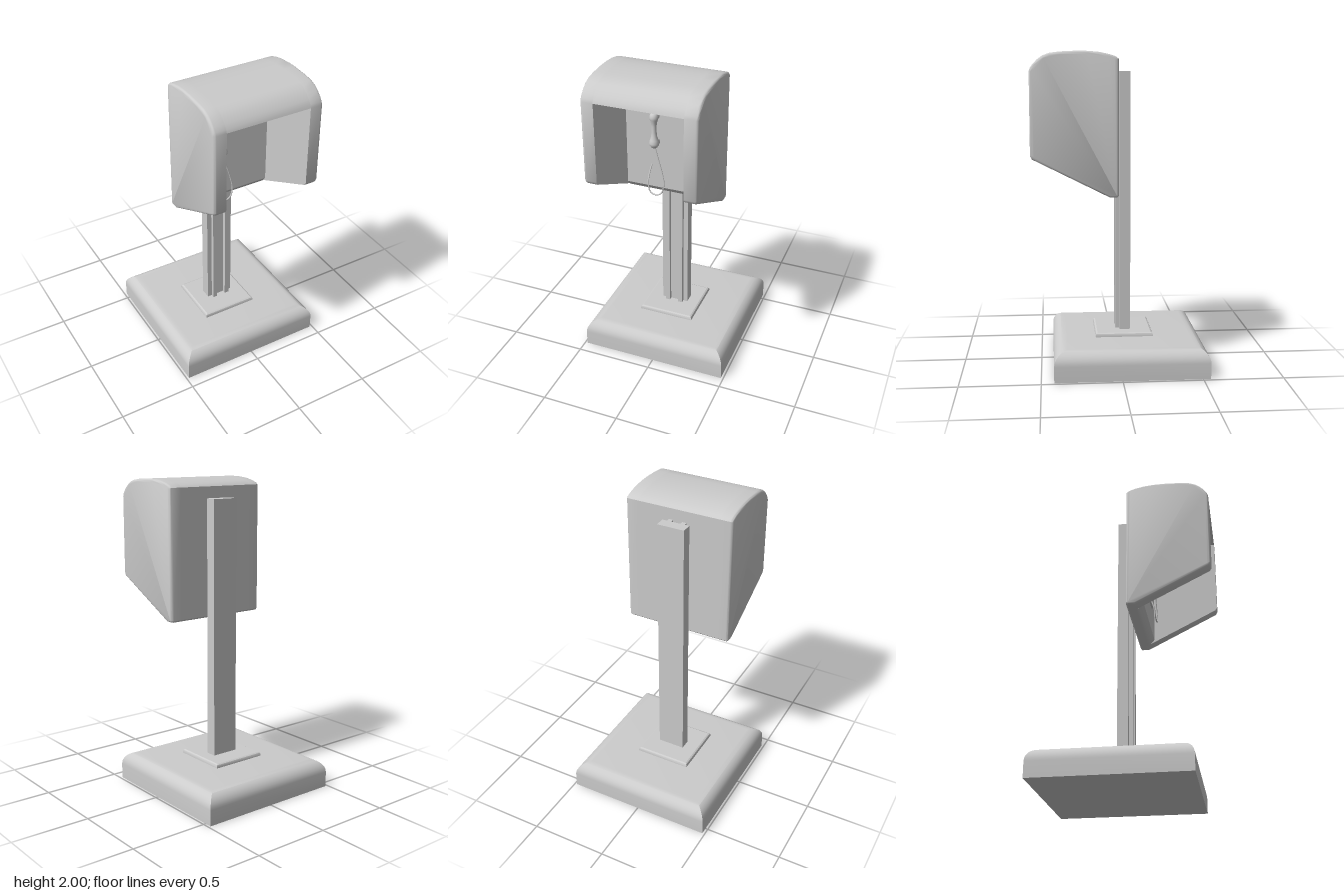
import * as THREE from 'three';
import { toCreasedNormals } from 'three/addons/utils/BufferGeometryUtils.js';

const material = new THREE.MeshStandardMaterial({ color: 0xcccccc });

function add(parent, name, geometry) {
  const mesh = new THREE.Mesh(geometry, material);
  mesh.name = name;
  parent.add(mesh);
  return mesh;
}

const toShape = (points) => new THREE.Shape(points.map(([a, b]) => new THREE.Vector2(a, b)));

// Square slab with mitred corners; profile is [half width, height]
function squareSlab(profile) {
  const points = profile.map(([s, y]) => new THREE.Vector2(s * Math.SQRT2, y));
  return toCreasedNormals(new THREE.LatheGeometry(points, 4).rotateY(Math.PI / 4), 0.5);
}

// Side profile given as [z, y], extruded from x0 to x1
function sideExtrude(points, x0, x1, bevel = 0) {
  const geometry = new THREE.ExtrudeGeometry(toShape(points), {
    depth: x1 - x0 - 2 * bevel, bevelEnabled: bevel > 0, bevelSize: bevel,
    bevelThickness: bevel, bevelOffset: -bevel, bevelSegments: 4,
  });
  return geometry.rotateY(-Math.PI / 2).translate(x1 - bevel, 0, 0);
}

// Hood side wall: outer edge rounded, inner face flattened onto the opening
function hoodSide(points, x0, x1, outerSign) {
  const bevel = 0.018;
  const geometry = sideExtrude(points, x0, x1, bevel);
  const p = geometry.attributes.position;
  const inner = outerSign > 0 ? x0 : x1;
  for (let i = 0; i < p.count; i++) {
    if (Math.abs(p.getX(i) - inner) < bevel + 1e-4) p.setX(i, inner);
  }
  return toCreasedNormals(geometry, 0.6);
}

export function createModel() {
  const model = new THREE.Group();
  model.name = 'payPhone';

  // Base with a rounded top edge
  const r = 0.085;
  const baseProfile = [[0, 0], [0.484, 0]];
  for (let i = 0; i <= 8; i++) {
    const a = (i / 8) * Math.PI / 2;
    baseProfile.push([0.484 - r + r * Math.cos(a), 0.185 - r + r * Math.sin(a)]);
  }
  baseProfile.push([0, 0.185]);
  add(model, 'base', squareSlab(baseProfile)).position.z = -0.063;

  const plate = squareSlab([[0, 0.18], [0.185, 0.18], [0.185, 0.196], [0.181, 0.205], [0.172, 0.21], [0, 0.21]]);
  add(model, 'footPlate', plate).position.set(-0.012, 0, -0.035);

  // Post with two ribs along its front, drawn in plan as [x, -z]
  const plan = [
    [-0.095, 0.08], [-0.095, 0.01], [-0.064, 0.01], [-0.064, -0.015], [-0.035, -0.015], [-0.035, 0.01],
    [0.026, 0.01], [0.026, -0.015], [0.055, -0.015], [0.055, 0.01], [0.085, 0.01], [0.085, 0.08],
  ];
  const post = new THREE.ExtrudeGeometry(toShape(plan), { depth: 1.68, bevelEnabled: false });
  add(model, 'post', post.rotateX(-Math.PI / 2).translate(0, 0.2, 0));

  // Hood: two side walls and a middle section forming roof and back
  const hood = new THREE.Group();
  hood.name = 'hood';
  model.add(hood);
  const roof = [
    [0.55, 1.88], [0.543, 1.9], [0.525, 1.925], [0.5, 1.95], [0.47, 1.972], [0.43, 1.987],
    [0.37, 1.995], [0.27, 2], [0.2, 1.999], [0.13, 1.993], [0.07, 1.98], [0.03, 1.966], [0.015, 1.953],
  ];
  const foot = [[0.012, 1.13], [0.022, 1.12], [0.07, 1.12]];
  const side = [...foot, [0.538, 1.355], [0.55, 1.375], ...roof];
  const middle = [...foot, [0.085, 1.125], [0.115, 1.16], [0.115, 1.88], ...roof];
  add(hood, 'rightWall', hoodSide(side, -0.362, -0.28, -1));
  add(hood, 'leftWall', hoodSide(side, 0.265, 0.35, 1));
  add(hood, 'roofAndBack', toCreasedNormals(sideExtrude(middle, -0.28, 0.265), 0.6));

  // Telephone panel on the back wall
  const panel = new THREE.BoxGeometry(0.245, 0.45, 0.025);
  add(model, 'phonePanel', panel).position.set(-0.008, 1.55, 0.115);

  // Handset: slim grip, rounded ends and cups facing the panel
  const handset = new THREE.Group();
  handset.name = 'handset';
  handset.position.set(-0.077, 1.573, 0.157);
  model.add(handset);
  const grip = [
    [0, -0.118], [0.018, -0.112], [0.029, -0.098], [0.032, -0.083], [0.027, -0.063], [0.019, -0.04],
    [0.016, -0.01], [0.016, 0.03], [0.019, 0.055], [0.026, 0.075], [0.028, 0.09], [0.023, 0.107], [0.013, 0.116], [0, 0.118],
  ];
  add(handset, 'grip', new THREE.LatheGeometry(grip.map(([x, y]) => new THREE.Vector2(x, y)), 20));
  for (const [name, y, radius] of [['earpiece', 0.088, 0.025], ['mouthpiece', -0.083, 0.028]]) {
    const cup = new THREE.CylinderGeometry(radius * 0.8, radius, 0.03, 20).rotateX(Math.PI / 2);
    add(handset, name, cup).position.set(0, y, -0.017);
  }

  // Hanging cord from the mouthpiece round to the panel
  const path = new THREE.CatmullRomCurve3([
    [-0.074, 1.465, 0.157], [-0.05, 1.38, 0.16], [-0.022, 1.28, 0.163], [-0.012, 1.21, 0.167], [-0.03, 1.15, 0.17],
    [-0.068, 1.133, 0.17], [-0.105, 1.15, 0.168], [-0.12, 1.21, 0.16], [-0.117, 1.27, 0.14], [-0.105, 1.335, 0.12],
  ].map((p) => new THREE.Vector3(...p)));
  add(model, 'cord', new THREE.TubeGeometry(path, 60, 0.0045, 8));

  return model;
}
